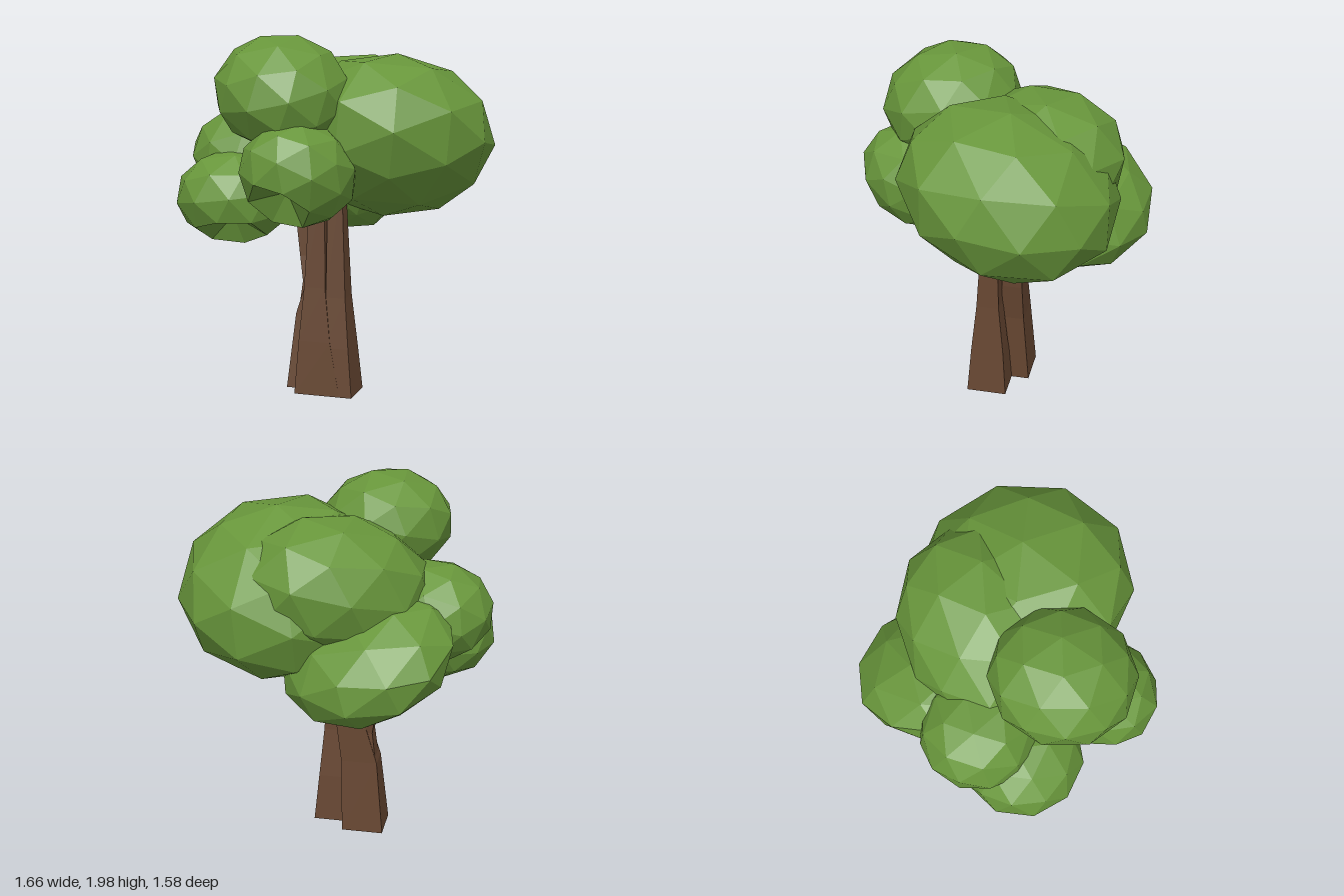
import * as THREE from 'three';

const leaf = new THREE.MeshStandardMaterial({ color: 0x68963b, flatShading: true });
leaf.name = 'leafGreen';
const bark = new THREE.MeshStandardMaterial({ color: 0x664631, flatShading: true });
bark.name = 'barkBrown';

// Low-poly leaf clump: turned icosphere stretched to radii r, then tilted and yawed;
// dent pushes one corner inwards
function clump(name, c, r, turn, tilt, yaw, dent) {
  const geo = new THREE.IcosahedronGeometry(1, 1);
  geo.rotateX(turn * 0.7).rotateY(turn);
  const p = geo.attributes.position;
  const v = new THREE.Vector3();
  if (dent) {
    const d = new THREE.Vector3(...dent).normalize();
    const nearest = new THREE.Vector3();
    let best = -2;
    for (let i = 0; i < p.count; i++) {
      v.fromBufferAttribute(p, i);
      if (v.dot(d) > best) { best = v.dot(d); nearest.copy(v); }
    }
    for (let i = 0; i < p.count; i++) {
      v.fromBufferAttribute(p, i);
      if (v.distanceTo(nearest) < 1e-3) p.setXYZ(i, v.x * 0.45, v.y * 0.45, v.z * 0.45);
    }
  }
  geo.scale(...r);
  geo.computeVertexNormals();
  const mesh = new THREE.Mesh(geo, leaf);
  mesh.name = name;
  mesh.position.set(...c);
  mesh.rotation.set(tilt, yaw, 0, 'YXZ');
  return mesh;
}

// Four-sided stem lofted through sections [y, x0, x1, z0, z1], bottom to top
function stem(name, sections) {
  const pos = [], idx = [];
  for (const [y, x0, x1, z0, z1] of sections) {
    pos.push(x0, y, z1, x1, y, z1, x1, y, z0, x0, y, z0);
  }
  const n = sections.length;
  for (let s = 0; s < n - 1; s++) {
    for (let k = 0; k < 4; k++) {
      const a = s * 4 + k, b = s * 4 + (k + 1) % 4;
      idx.push(a, b, b + 4, a, b + 4, a + 4);
    }
  }
  const t = (n - 1) * 4;
  idx.push(0, 2, 1, 0, 3, 2, t, t + 1, t + 2, t, t + 2, t + 3);
  const geo = new THREE.BufferGeometry();
  geo.setAttribute('position', new THREE.Float32BufferAttribute(pos, 3));
  geo.setIndex(idx);
  geo.computeVertexNormals();
  const mesh = new THREE.Mesh(geo, bark);
  mesh.name = name;
  return mesh;
}

export function createModel() {
  const tree = new THREE.Group();
  tree.name = 'tree';

  // Stems sharing one flared foot
  tree.add(
    stem('frontStem', [
      [0, -0.2, 0.06, -0.08, 0.145], [0.3, -0.18, 0.0, -0.05, 0.125],
      [0.6, -0.155, -0.035, -0.02, 0.1], [1.2, -0.125, -0.045, -0.01, 0.07]]),
    stem('sideStem', [
      [0, -0.1, 0.13, -0.08, 0.145], [0.27, -0.03, 0.105, -0.06, 0.125],
      [0.55, -0.03, 0.08, -0.03, 0.098], [1.2, -0.03, 0.05, -0.01, 0.06]]),
    stem('backStem', [
      [0, -0.28, -0.05, -0.18, 0.04], [0.42, -0.24, -0.04, -0.15, -0.01],
      [0.65, -0.17, -0.01, -0.145, -0.03], [1.2, -0.1, 0.02, -0.15, -0.05]]),
    stem('backBranch', [
      [0.35, -0.242, -0.13, -0.15, -0.03], [0.6, -0.212, -0.15, -0.14, -0.05],
      [0.74, -0.235, -0.17, -0.16, -0.07], [1.1, -0.28, -0.21, -0.16, -0.09]])
  );

  // Crown
  tree.add(
    clump('largeSideClump', [0.27, 1.43, -0.13], [0.575, 0.44, 0.6], 0.3, -0.3, 0),
    clump('topFrontClump', [-0.21, 1.69, 0.29], [0.365, 0.3, 0.385], 0.9, 0.25, 0.5),
    clump('topBackClump', [-0.04, 1.48, -0.22], [0.44, 0.38, 0.54], 1.5, -0.25, 2.36),
    clump('lowBackClump', [-0.22, 1.16, -0.36], [0.5, 0.28, 0.47], 2.2, 0.45, 2.36),
    clump('outerClump', [-0.52, 1.31, -0.04], [0.325, 0.275, 0.315], 0.6, 0, 0),
    clump('outerFrontClump', [-0.51, 1.11, 0.2], [0.33, 0.26, 0.325], 1.2, 0, 0, [0, -0.8, 0.6]),
    clump('frontClump', [-0.07, 1.28, 0.44], [0.295, 0.28, 0.345], 1.9, -0.3, -0.3, [0, -0.8, 0.6])
  );
  return tree;
}
